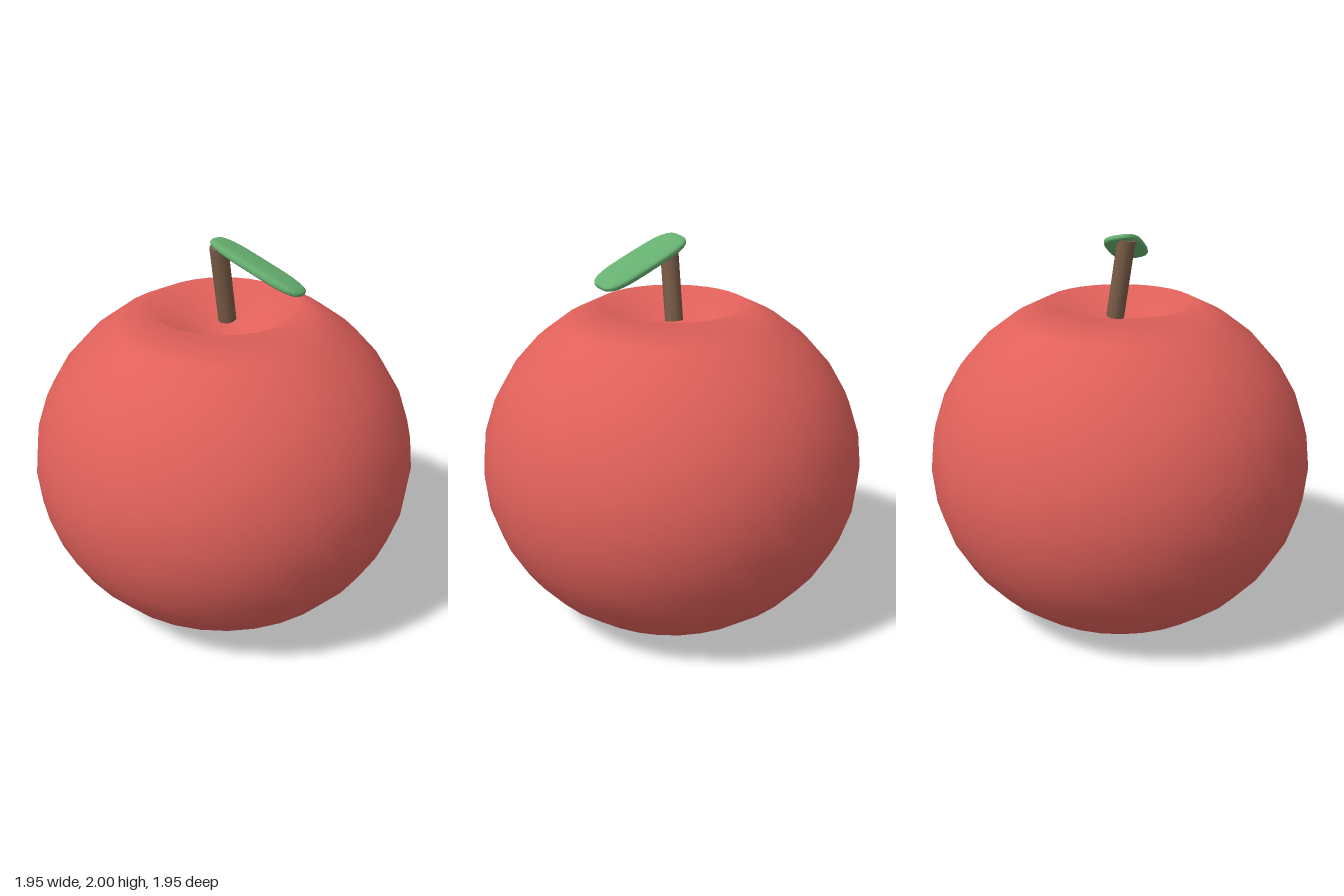
import * as THREE from 'three';
import { mergeVertices } from 'three/addons/utils/BufferGeometryUtils.js';

// Move every vertex by a rule, then weld and smooth
function reshape(geometry, rule) {
  geometry.deleteAttribute('uv');
  geometry.deleteAttribute('normal');
  const p = geometry.attributes.position;
  const v = new THREE.Vector3();
  for (let i = 0; i < p.count; i++) {
    rule(v.fromBufferAttribute(p, i));
    p.setXYZ(i, v.x, v.y, v.z);
  }
  const welded = mergeVertices(geometry, 1e-4);
  welded.computeVertexNormals();
  return welded;
}

function part(name, geometry, color) {
  const mesh = new THREE.Mesh(geometry, new THREE.MeshStandardMaterial({ color }));
  mesh.name = name;
  return mesh;
}

export function createModel() {
  const group = new THREE.Group();
  group.name = 'apple';

  // Fruit: squashed sphere, with a deep hollow on top and a shallow one below
  const fruitShape = reshape(new THREE.SphereGeometry(1, 32, 16), (v) => {
    if (Math.hypot(v.x, v.z) < 0.3) v.y *= v.y > 0 ? 0.7 : 0.9;
    v.set(v.x * 0.975, v.y * 0.9, v.z * 0.975);
  });
  const fruit = part('fruit', fruitShape, 0xe0605a);
  fruit.position.y = 0.833;
  group.add(fruit);

  // Stem: plain cylinder leaning forward
  const base = new THREE.Vector3(0, 1.58, -0.026);
  const tip = new THREE.Vector3(0, 1.97, 0.035);
  const stem = part('stem', new THREE.CylinderGeometry(0.045, 0.045, base.distanceTo(tip), 16), 0x7a5c46);
  stem.position.copy(base).lerp(tip, 0.5);
  stem.rotation.x = Math.atan2(tip.z - base.z, tip.y - base.y);
  group.add(stem);

  // Leaf: flat pad with rounded corners, sloping down to the side
  const n = 3.5;
  const leafShape = reshape(new THREE.SphereGeometry(1, 40, 20), (v) => {
    const s = Math.abs(v.x) ** n + Math.abs(v.y) ** n + Math.abs(v.z) ** n;
    v.multiplyScalar(s ** (-1 / n)).multiply(new THREE.Vector3(0.26, 0.024, 0.093));
  });
  const leaf = part('leaf', leafShape, 0x66b070);
  const along = new THREE.Vector3(0.24, -0.092, -0.05).normalize();
  const up = new THREE.Vector3(0.02, 0.012, 0.07).cross(along).normalize();
  const across = along.clone().cross(up);
  leaf.quaternion.setFromRotationMatrix(new THREE.Matrix4().makeBasis(along, up, across));
  leaf.position.set(0.185, 1.897, -0.038);
  group.add(leaf);

  return group;
}
